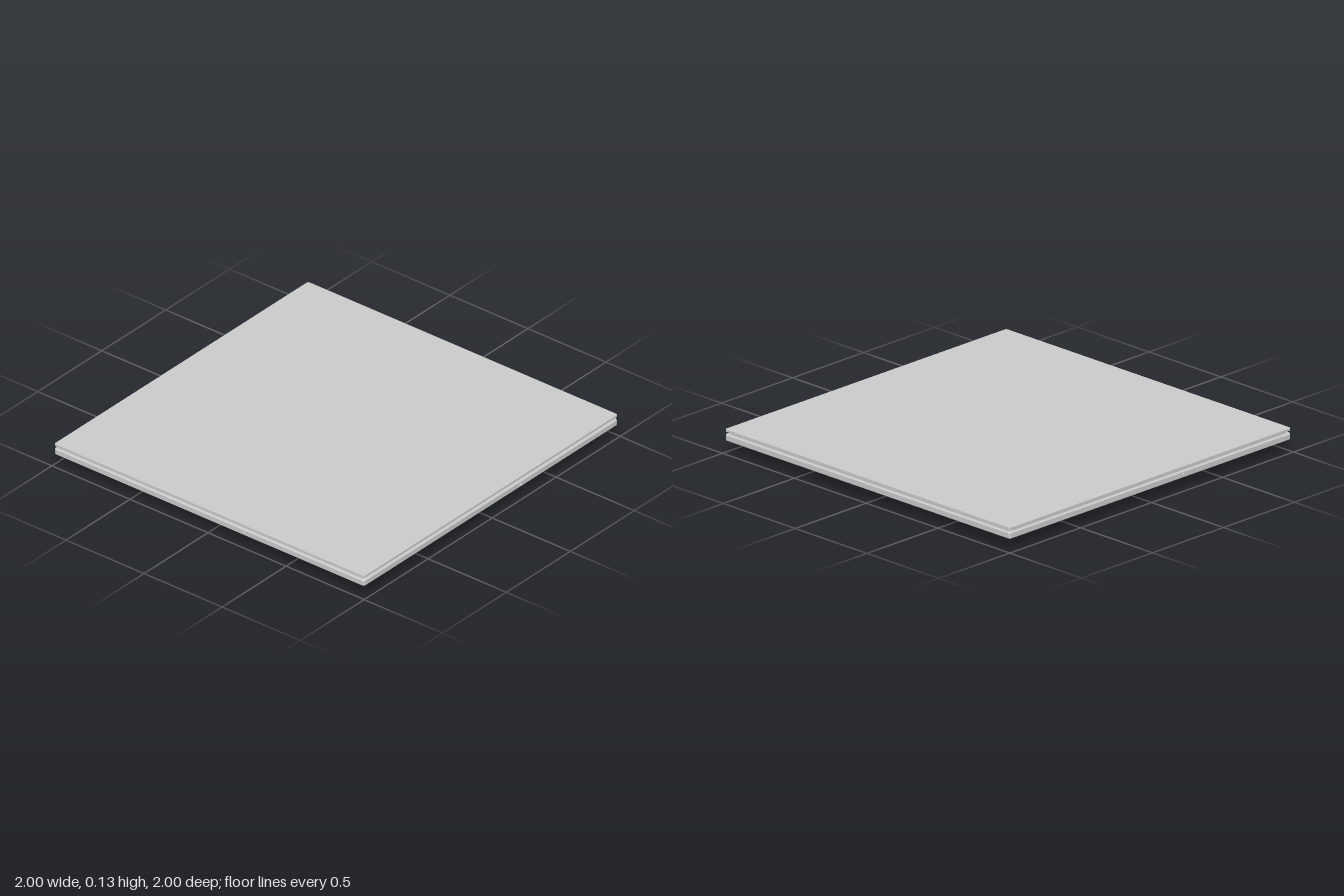
import * as THREE from 'three';

const grey = new THREE.MeshStandardMaterial({ color: 0xcccccc });
const RISE = 0.068; // height of the pads below the slab

function add(parent, name, geometry) {
  const mesh = new THREE.Mesh(geometry, grey);
  mesh.name = name;
  parent.add(mesh);
  return mesh;
}

// Square slab with slightly rounded corners, from y0 to y1
function slab(half, y0, y1, bevel) {
  const r = 0.012, h = half - bevel;
  const s = new THREE.Shape();
  s.absarc(h - r, h - r, r, 0, Math.PI / 2);
  s.absarc(r - h, h - r, r, Math.PI / 2, Math.PI);
  s.absarc(r - h, r - h, r, Math.PI, Math.PI * 1.5);
  s.absarc(h - r, r - h, r, Math.PI * 1.5, Math.PI * 2);
  const g = new THREE.ExtrudeGeometry(s, {
    depth: y1 - y0 - 2 * bevel, bevelEnabled: bevel > 0,
    bevelSize: bevel, bevelThickness: bevel, bevelSegments: 1, curveSegments: 5,
  });
  return g.rotateX(-Math.PI / 2).translate(0, y0 + bevel, 0);
}

// Outline points with outward normals, from arcs [cx, cz, radius, start, end, normalSign] in degrees
function outline(arcs) {
  const pts = [];
  for (const [cx, cz, r, a0, a1, sign] of arcs) {
    const n = Math.ceil(Math.abs(a1 - a0) / 5);
    for (let i = 0; i < n; i++) {
      const a = THREE.MathUtils.degToRad(a0 + (a1 - a0) * i / n);
      const c = Math.cos(a), s = Math.sin(a);
      pts.push({ x: cx + r * c, z: cz + r * s, nx: sign * c, nz: sign * s });
    }
  }
  return pts;
}

function geometryFrom(position, index) {
  const g = new THREE.BufferGeometry();
  g.setAttribute('position', new THREE.Float32BufferAttribute(position, 3));
  g.setIndex(index);
  g.computeVertexNormals();
  return g;
}

// Flared foot: flat base plus a wall that curves out into the slab underside
function foot(name, pts, cx, cz, flare) {
  const group = new THREE.Group();
  group.name = name;
  const n = pts.length, rings = 10;

  const base = [cx, 0, cz], baseIndex = [];
  pts.forEach((p, i) => {
    base.push(p.x, 0, p.z);
    baseIndex.push(0, 1 + i, 1 + (i + 1) % n);
  });
  add(group, name + 'Base', geometryFrom(base, baseIndex));

  const wall = [], wallIndex = [];
  for (let k = 0; k <= rings; k++) {
    const t = k / rings, y = RISE * Math.sin(t * Math.PI / 2);
    for (const p of pts) wall.push(p.x + p.nx * flare * t, y, p.z + p.nz * flare * t);
    if (k === rings) break;
    for (let i = 0; i < n; i++) {
      const j = (i + 1) % n, a = k * n + i, b = k * n + j;
      wallIndex.push(a, a + n, b, b, a + n, b + n);
    }
  }
  add(group, name + 'Flare', geometryFrom(wall, wallIndex));
  return group;
}

export function createModel() {
  const model = new THREE.Group();
  model.name = 'platform';

  // Stacked slabs with a shadow groove between body and top plate
  add(model, 'body', slab(0.993, RISE, 0.102, 0.004));
  add(model, 'grooveCore', slab(0.978, 0.102, 0.116, 0));
  add(model, 'topPlate', slab(0.992, 0.116, 0.128, 0));

  // Round centre foot
  model.add(foot('centreFoot', outline([[0, 0, 0.235, 0, 360, 1]]), 0, 0, 0.15));

  // Kidney-shaped corner feet, hollowed towards the centre
  const tilt = THREE.MathUtils.radToDeg(Math.atan2(0.66, 0.33));
  const kidney = outline([
    [0.66, 0.66, 0.13, 0, 90, 1],
    [0.33, 0.66, 0.13, 90, 180 + tilt, 1],
    [0, 0, Math.hypot(0.33, 0.66) - 0.13, tilt, 90 - tilt, -1],
    [0.66, 0.33, 0.13, 270 - tilt, 360, 1],
  ]);
  for (let i = 0; i < 4; i++) {
    const corner = foot('cornerFoot', kidney, 0.56, 0.56, 0.16);
    corner.rotation.y = i * Math.PI / 2;
    model.add(corner);

    // Small pin and tab on each side face
    const side = new THREE.Group();
    side.name = 'sideFittings';
    side.rotation.y = i * Math.PI / 2;
    const pin = new THREE.CylinderGeometry(0.008, 0.008, 0.02, 16).rotateX(Math.PI / 2);
    add(side, 'pin', pin).position.set(0.23, 0.085, 0.99);
    add(side, 'tab', new THREE.BoxGeometry(0.02, 0.004, 0.006)).position.set(-0.25, 0.092, 0.992);
    model.add(side);
  }
  return model;
}
